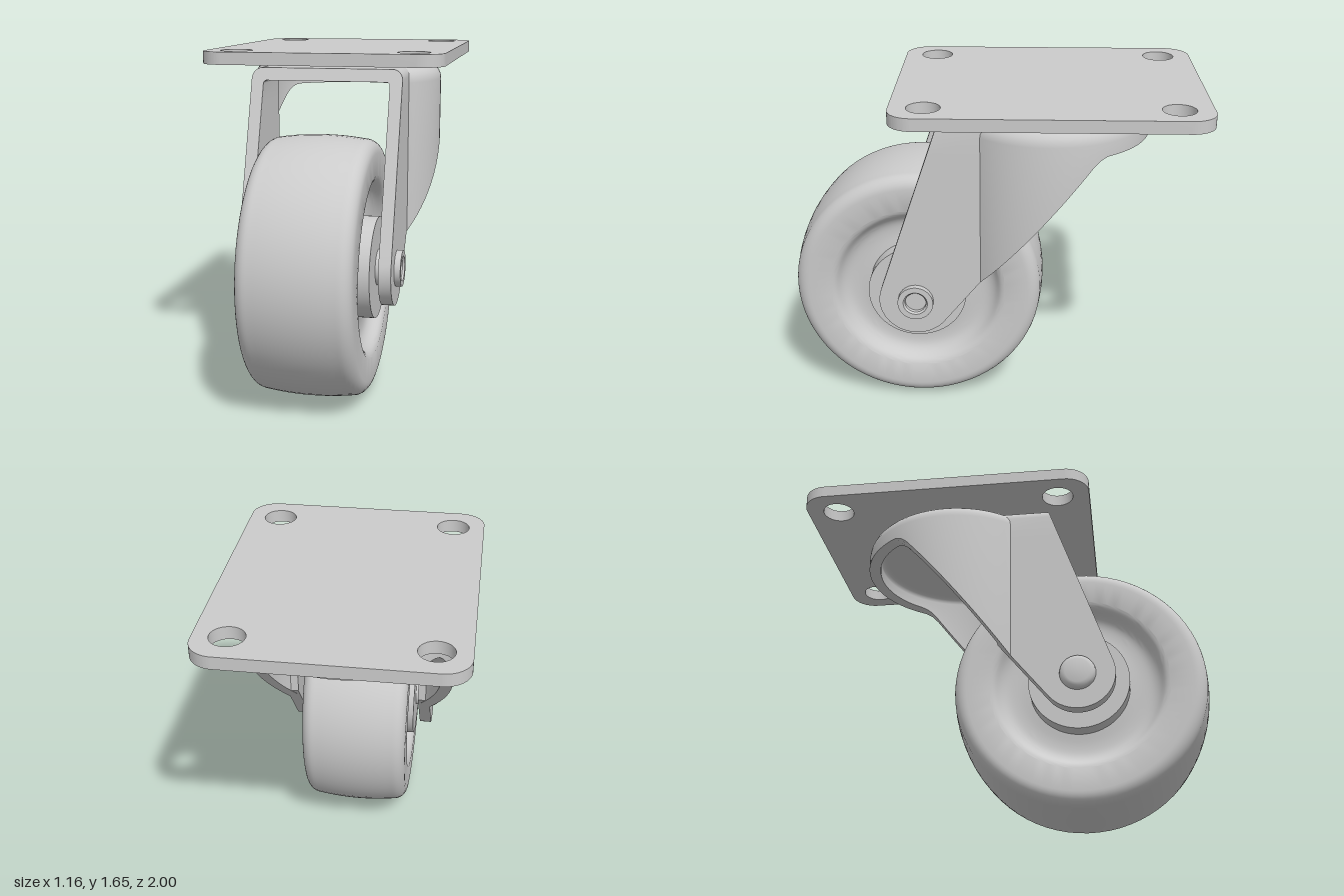
import * as THREE from 'three';
import { toCreasedNormals } from 'three/addons/utils/BufferGeometryUtils.js';

const WHEEL_Y = 0.63, WHEEL_Z = 0.37, SWIVEL_Z = -0.27;
const material = new THREE.MeshStandardMaterial({ color: 0xcccccc, side: THREE.DoubleSide });

function addMesh(parent, name, geometry, crease = 0.6) {
  const mesh = new THREE.Mesh(toCreasedNormals(geometry, crease), material);
  mesh.name = name;
  parent.add(mesh);
  return mesh;
}

// Skin a row of closed rings, each counter-clockwise seen from the far end
function loft(rings) {
  const pos = [], tri = new THREE.Triangle();
  const push = (a, b, c) => {
    if (tri.set(a, b, c).getArea() > 1e-8) pos.push(...a, ...b, ...c);
  };
  for (let i = 0; i < rings.length - 1; i++) {
    const n = rings[i].length;
    for (let j = 0; j < n; j++) {
      const k = (j + 1) % n;
      push(rings[i][j], rings[i][k], rings[i + 1][k]);
      push(rings[i][j], rings[i + 1][k], rings[i + 1][j]);
    }
  }
  const geometry = new THREE.BufferGeometry();
  geometry.setAttribute('position', new THREE.Float32BufferAttribute(pos, 3));
  return geometry;
}

// Lathe of [radius, x] points around the x axis
function latheX(points, segments) {
  return new THREE.LatheGeometry(points.map(p => new THREE.Vector2(p[0], p[1])), segments)
    .rotateZ(-Math.PI / 2);
}

// Rounded rectangular mounting plate with four bolt holes
function plateGeometry() {
  const w = 0.58, y0 = -0.46, y1 = 1, r = 0.12;
  const shape = new THREE.Shape();
  shape.absarc(w - r, y0 + r, r, -Math.PI / 2, 0);
  shape.absarc(w - r, y1 - r, r, 0, Math.PI / 2);
  shape.absarc(-w + r, y1 - r, r, Math.PI / 2, Math.PI);
  shape.absarc(-w + r, y0 + r, r, Math.PI, Math.PI * 1.5);
  for (const x of [-0.43, 0.43]) for (const y of [-0.3, 0.84]) {
    shape.holes.push(new THREE.Path().absarc(x, y, 0.078, 0, Math.PI * 2, true));
  }
  return new THREE.ExtrudeGeometry(shape, { depth: 0.06, bevelEnabled: false, curveSegments: 16 })
    .rotateX(-Math.PI / 2).translate(0, 1.59, 0);
}

// Front and back edges of the fork legs, rounded around the axle
const round = y => Math.sqrt(Math.max(0, 0.18 ** 2 - (y - WHEEL_Y) ** 2));
const legFront = y => y > 0.688 ? 0.54 - (y - 0.688) * 0.342 : WHEEL_Z + round(y);
const legBack = y => y > 0.517 ? Math.max(-0.02, 0.23 - (y - 0.517) * 0.807) : WHEEL_Z - round(y);

// Upside-down U: two legs and the bridge between them
function forkGeometry() {
  const half = [];   // outer x, outer y, inner x, inner y
  const addLevel = y => half.push([0.37, y, 0.31, y]);
  for (let i = 0; i <= 16; i++) addLevel(WHEEL_Y - 0.18 * Math.cos(i / 16 * 1.9));
  for (const y of [0.74, 0.8, 0.826, 1.1, 1.4]) addLevel(y);
  for (let i = 0; i <= 6; i++) {
    const a = i / 6 * Math.PI / 2, c = Math.cos(a), s = Math.sin(a);
    half.push([0.32 + 0.05 * c, 1.515 + 0.05 * s, 0.295 + 0.015 * c, 1.49 + 0.015 * s]);
  }
  const other = half.map(p => [-p[0], p[1], -p[2], p[3]]).reverse();
  return loft([...half, ...other].map(([ox, oy, ix, iy]) => [
    new THREE.Vector3(ox, oy, legFront(oy)), new THREE.Vector3(ox, oy, legBack(oy)),
    new THREE.Vector3(ix, iy, legBack(iy)), new THREE.Vector3(ix, iy, legFront(iy)),
  ]));
}

// Lower rim of the round shell: sloping, then level behind with a soft bend
function rimY(z) {
  const slope = 0.74 + (0.05 - z) * 1.22, k = 0.05;
  const h = Math.max(k - Math.abs(slope - 1.42), 0) / k;
  return Math.min(slope, 1.42) - h * h * k / 4;
}

// Round pressed shell behind the legs, with a filleted top
function shellGeometry() {
  const start = Math.acos(0.32 / 0.49), steps = 64, rings = [];
  for (let i = 0; i <= steps; i++) {
    const a = start + (2 * Math.PI - 2 * start) * i / steps;
    const at = (r, y) => {
      const z = SWIVEL_Z + r * Math.cos(a);
      return new THREE.Vector3(r * Math.sin(a), y ?? rimY(z), z);
    };
    const ring = [at(0.49)];
    for (let j = 0; j <= 6; j++) {
      const t = j / 6 * Math.PI / 2;
      ring.push(at(0.41 + 0.08 * Math.cos(t), 1.485 + 0.08 * Math.sin(t)));
    }
    ring.push(new THREE.Vector3(0, 1.565, 0), new THREE.Vector3(0, 1.505, 0));
    for (let j = 4; j >= 0; j--) {
      const t = j / 4 * Math.PI / 2;
      ring.push(at(0.4 + 0.03 * Math.cos(t), 1.475 + 0.03 * Math.sin(t)));
    }
    ring.push(at(0.43));
    rings.push(ring.reverse());
  }
  return loft(rings);
}

// Crowned tread, rounded shoulders, dished sides and raised hub
function wheelGeometry() {
  const half = [];
  for (let i = 0; i < 6; i++) half.push([0.63 - 0.015 * (i / 6) ** 2, 0.2 * i / 6]);
  for (let i = 0; i <= 8; i++) {
    const a = i / 8 * Math.PI / 2;
    half.push([0.55 + 0.065 * Math.cos(a), 0.2 + 0.065 * Math.sin(a)]);
  }
  const dish = new THREE.SplineCurve([[0.44, 0.265], [0.415, 0.252], [0.385, 0.215], [0.35, 0.195],
    [0.3, 0.19], [0.245, 0.195]].map(p => new THREE.Vector2(...p)));
  half.push(...dish.getPoints(20).map(p => [p.x, p.y]), [0.245, 0.28], [0, 0.28]);
  const other = half.slice(1).map(([r, x]) => [r, -x]).reverse();
  return latheX([...other, ...half], 72);
}

export function createModel() {
  const model = new THREE.Group();
  model.name = 'caster';

  addMesh(model, 'mountingPlate', plateGeometry());
  addMesh(model, 'swivelDisc', new THREE.CylinderGeometry(0.37, 0.37, 0.03, 48))
    .position.set(0, 1.577, SWIVEL_Z);

  const yoke = new THREE.Group();
  yoke.name = 'yoke';
  addMesh(yoke, 'forkLegs', forkGeometry());
  addMesh(yoke, 'yokeShell', shellGeometry());
  model.add(yoke);

  const rolling = new THREE.Group();
  rolling.name = 'wheelAssembly';
  rolling.position.set(0, WHEEL_Y, WHEEL_Z);
  addMesh(rolling, 'wheel', wheelGeometry());
  // Axle with a rounded head on one end and a socket in the other
  addMesh(rolling, 'axle', latheX([[0, -0.4], [0.06, -0.4], [0.075, -0.395], [0.084, -0.385],
    [0.0875, -0.37], [0.0875, 0.4], [0.06, 0.4], [0.052, 0.39], [0.052, 0.33], [0, 0.33]], 32));
  model.add(rolling);
  return model;
}
